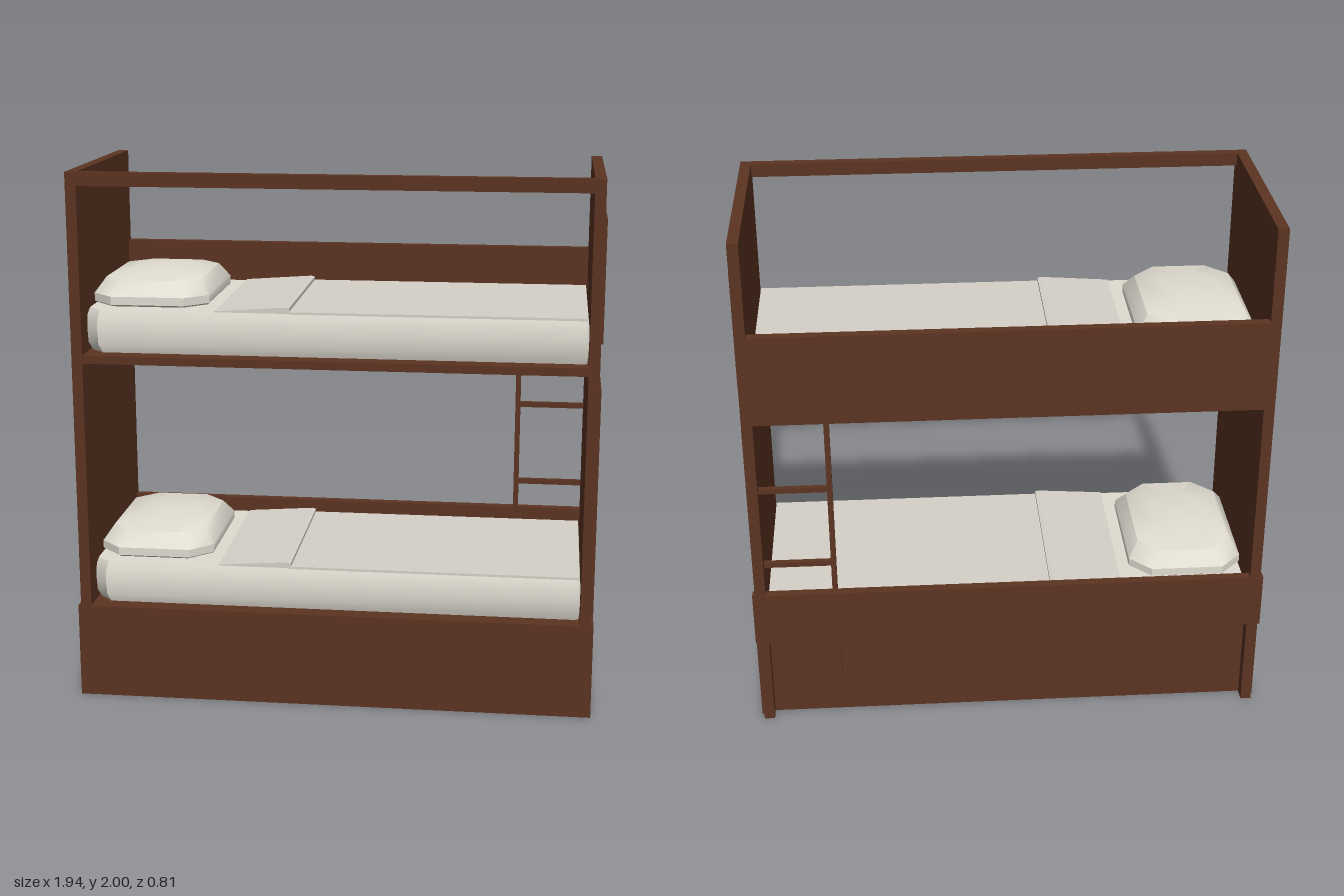
import * as THREE from 'three';
import { toCreasedNormals } from 'three/addons/utils/BufferGeometryUtils.js';

const mat = (name, color) => {
  const m = new THREE.MeshStandardMaterial({ color });
  m.name = name;
  return m;
};

// Closed solid through chamfered rectangles: [y, x0, x1, half depth, cut at x0, cut at x1]
function loft(rings, crease) {
  const pos = [];
  const loops = rings.map(([y, x0, x1, d, a, b]) => [
    [x0 + a, d], [x1 - b, d], [x1, d - b], [x1, b - d],
    [x1 - b, -d], [x0 + a, -d], [x0, a - d], [x0, d - a],
  ].map(([x, z]) => [x, y, z]));
  const tri = (...p) => p.forEach((q) => pos.push(...q));
  const n = 8;
  for (let r = 0; r < loops.length - 1; r++) {
    for (let i = 0; i < n; i++) {
      const j = (i + 1) % n, lo = loops[r], hi = loops[r + 1];
      tri(lo[i], lo[j], hi[j]);
      tri(lo[i], hi[j], hi[i]);
    }
  }
  // End caps as fans
  const lo = loops[0], hi = loops[loops.length - 1];
  for (let i = 1; i < n - 1; i++) {
    tri(hi[0], hi[i], hi[i + 1]);
    tri(lo[0], lo[i + 1], lo[i]);
  }
  const g = new THREE.BufferGeometry();
  g.setAttribute('position', new THREE.Float32BufferAttribute(pos, 3));
  return toCreasedNormals(g, crease);
}

export function createModel() {
  const root = new THREE.Group();
  root.name = 'bunkBed';
  const wood = mat('dark wood', 0x5c3422);
  const linen = mat('linen', 0xe0dcd1);
  const cover = mat('blanket cloth', 0xd5d0c7);

  const add = (name, geometry, material, parent = root) => {
    const m = new THREE.Mesh(geometry, material);
    m.name = name;
    parent.add(m);
    return m;
  };
  // Box given by its limits on each axis
  const box = (name, x0, x1, y0, y1, z0, z1, material = wood, parent = root) => {
    const m = add(name, new THREE.BoxGeometry(x1 - x0, y1 - y0, z1 - z0), material, parent);
    m.position.set((x0 + x1) / 2, (y0 + y1) / 2, (z0 + z1) / 2);
    return m;
  };

  // End walls with raised panels and a base plinth
  for (const s of [-1, 1]) {
    const side = (name, a, b, ...rest) => box(name, Math.min(s * a, s * b), Math.max(s * a, s * b), ...rest);
    side('endWall', 0.92, 0.96, 0, 2, -0.4, 0.4);
    side('upperRaisedPanel', 0.96, 0.97, 1.4, 1.85, -0.305, 0.305);
    side('lowerRaisedPanel', 0.96, 0.97, 0.36, 1.23, -0.305, 0.305);
    side('endPlinth', 0.96, 0.97, 0, 0.36, -0.37, 0.4);
  }

  // Open-bottomed base and the boards between the end walls
  box('basePanelFront', -0.97, 0.97, 0, 0.36, 0.365, 0.402);
  box('basePanelBack', -0.92, 0.92, 0, 0.35, -0.35, -0.33);
  box('lowerPlatform', -0.92, 0.92, 0.33, 0.36, -0.365, 0.365);
  box('lowerBackBoard', -0.97, 0.97, 0.36, 0.575, -0.403, -0.368);
  box('upperPlatform', -0.92, 0.92, 1.3, 1.33, -0.4, 0.4);
  box('upperBackBoard', -0.92, 0.92, 1.33, 1.645, -0.4, -0.365);
  box('topFrontRail', -0.92, 0.92, 1.95, 2, 0.365, 0.4);

  // Ladder at the back
  const ladder = new THREE.Group();
  ladder.name = 'ladder';
  root.add(ladder);
  box('ladderStile', 0.65, 0.67, 0.11, 1.3, -0.37, -0.35, wood, ladder);
  for (const y of [0.69, 1.01]) box('ladderRung', 0.67, 0.92, y - 0.01, y + 0.01, -0.37, -0.35, wood, ladder);

  // Bedding shared by both bunks, heights measured from the platform
  const mattress = loft([
    [0, -0.905, 0.915, 0.345, 0.05, 0.01],
    [0.03, -0.918, 0.918, 0.357, 0.05, 0.01],
    [0.085, -0.92, 0.919, 0.362, 0.05, 0.01],
    [0.135, -0.918, 0.918, 0.358, 0.05, 0.01],
    [0.16, -0.91, 0.915, 0.35, 0.05, 0.01],
  ], 0.6);
  const pillow = loft([
    [0.163, -0.905, -0.485, 0.29, 0.08, 0.08],
    [0.17, -0.912, -0.478, 0.3, 0.08, 0.08],
    [0.2, -0.912, -0.478, 0.3, 0.08, 0.08],
    [0.255, -0.875, -0.515, 0.255, 0.08, 0.08],
    [0.274, -0.79, -0.6, 0.14, 0.06, 0.06],
    [0.285, -0.7, -0.69, 0.02, 0.003, 0.003],
  ], 0.65);

  // Turned-down sheet: a shallow wedge rising towards the blanket
  const wedge = new THREE.Shape();
  wedge.moveTo(-0.435, 0.158);
  wedge.lineTo(-0.16, 0.158);
  wedge.lineTo(-0.16, 0.18);
  wedge.lineTo(-0.175, 0.183);
  wedge.lineTo(-0.435, 0.164);
  const fold = new THREE.ExtrudeGeometry(wedge, { depth: 0.7, bevelEnabled: false });
  fold.translate(0, 0, -0.35);

  for (const [label, y] of [['lower', 0.363], ['upper', 1.333]]) {
    const bed = new THREE.Group();
    bed.name = label + 'Bedding';
    bed.position.y = y;
    root.add(bed);
    add('mattress', mattress, linen, bed);
    add('pillow', pillow, linen, bed);
    add('foldedSheet', fold, cover, bed);
    box('blanket', -0.165, 0.914, 0.158, 0.167, -0.352, 0.352, cover, bed);
  }
  return root;
}
